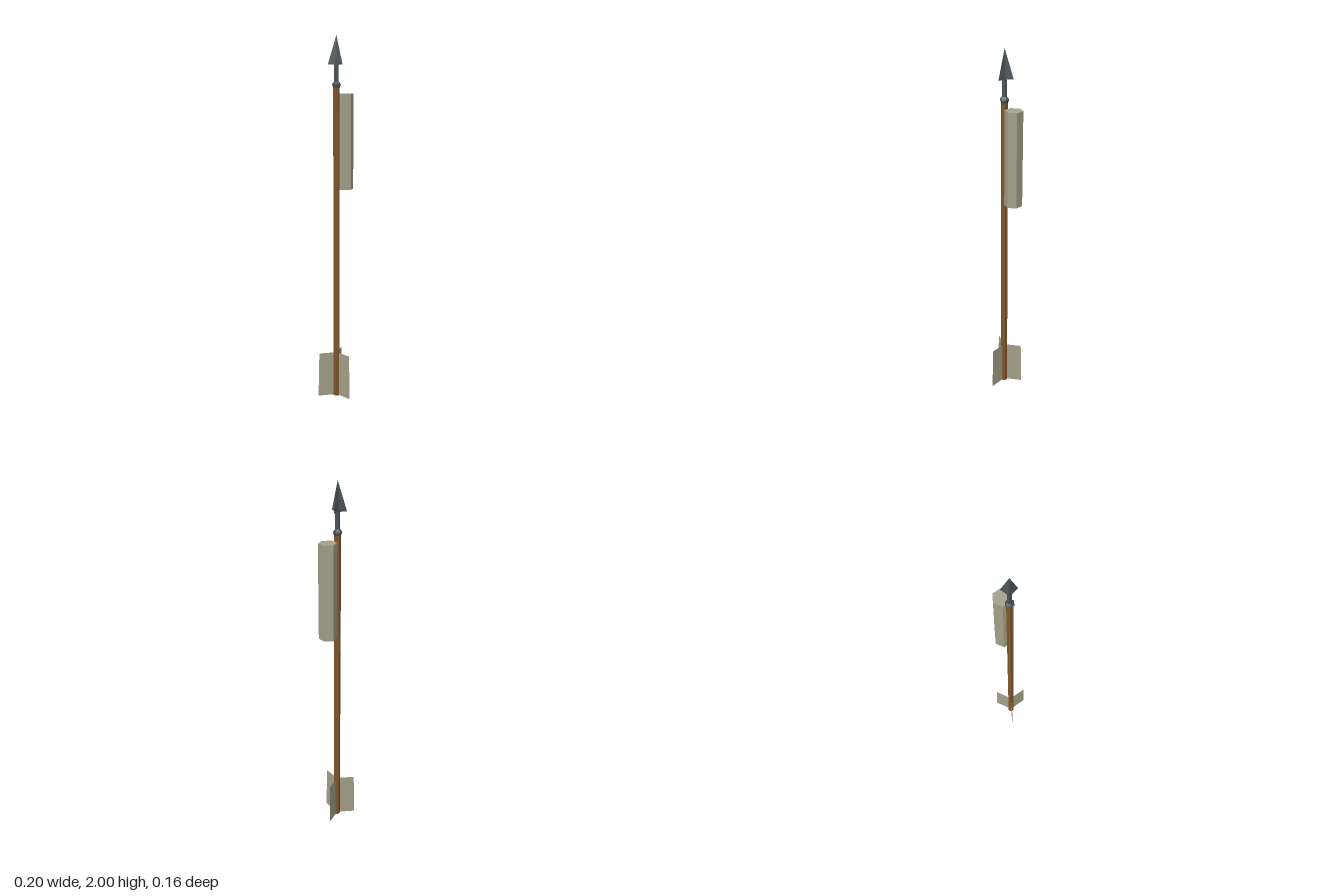
import * as THREE from 'three';

export function createModel() {
  const root = new THREE.Group();
  const arrow = new THREE.Group();
  arrow.name = 'arrow';
  arrow.position.set(-0.007, 0, -0.026);
  root.add(arrow);

  const mat = (color, side = THREE.FrontSide) =>
    new THREE.MeshStandardMaterial({ color, flatShading: true, side });
  const wood = mat(0x80562c);
  const metal = mat(0x4b5559);
  const paper = mat(0xa3a18a);
  const vaneMat = mat(0xa3a18a, THREE.DoubleSide);

  const add = (name, geometry, material) => {
    const mesh = new THREE.Mesh(geometry, material);
    mesh.name = name;
    arrow.add(mesh);
    return mesh;
  };
  // Six-sided prism between two heights
  const prism = (name, r, y0, y1, material) => {
    const mesh = add(name, new THREE.CylinderGeometry(r, r, y1 - y0, 6), material);
    mesh.position.y = (y0 + y1) / 2;
    return mesh;
  };

  prism('shaft', 0.018, 0, 1.74, wood);
  prism('headRod', 0.0125, 1.735, 1.87, metal);
  prism('powderTube', 0.0487, 1.175, 1.695, paper).position.x = 0.062;

  // Flared collar where the head meets the shaft
  const collar = [[0.018, 1.725], [0.024, 1.74], [0.02, 1.75], [0.0125, 1.757]];
  add('collar', new THREE.LatheGeometry(collar.map(p => new THREE.Vector2(...p)), 6), metal);

  // Three-bladed point: a six-sided cone with every other edge pulled inwards
  const head = new THREE.ConeGeometry(0.047, 0.155, 6);
  const pos = head.attributes.position;
  for (let i = 0; i < pos.count; i++) {
    const x = pos.getX(i), z = pos.getZ(i);
    if (Math.hypot(x, z) > 0.01 && Math.cos(3 * Math.atan2(x, z)) < 0) {
      pos.setX(i, x * 0.2);
      pos.setZ(i, z * 0.2);
    }
  }
  add('arrowHead', head, metal).position.y = 1.9225;

  // Three thin vanes, slightly wider at the tail
  const vane = new THREE.ShapeGeometry(new THREE.Shape([
    new THREE.Vector2(0, 0.003), new THREE.Vector2(0.106, 0.003),
    new THREE.Vector2(0.1, 0.252), new THREE.Vector2(0, 0.252),
  ]));
  for (let i = 0; i < 3; i++) {
    add('vane' + (i + 1), vane, vaneMat).rotation.y = -Math.PI / 2 + i * Math.PI * 2 / 3;
  }

  return root;
}
